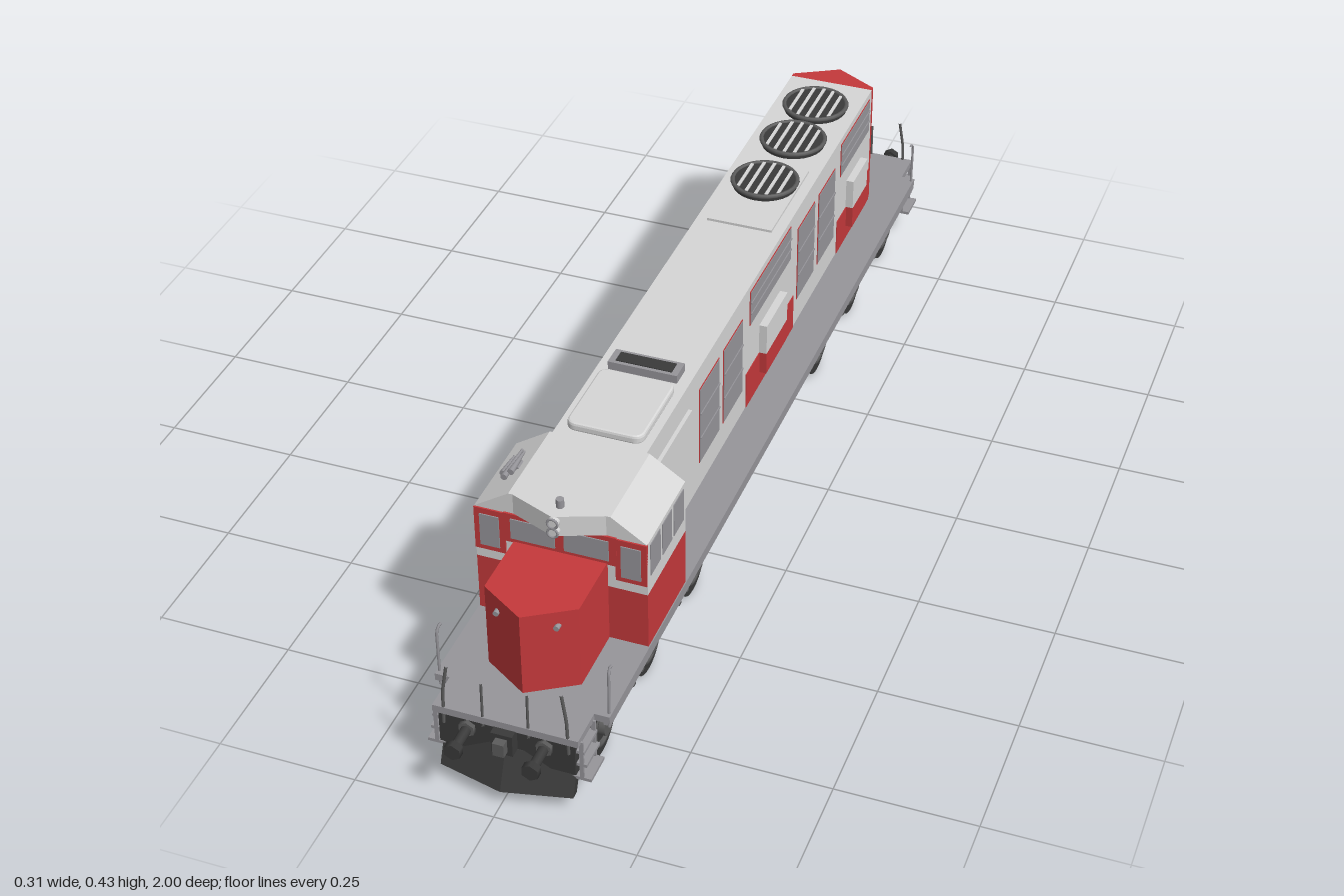
import * as THREE from 'three';

const mat = (name, color) => Object.assign(new THREE.MeshStandardMaterial({ color }), { name });

export function createModel() {
  const red = mat('red paint', 0xc4393b);
  const light = mat('light grey paint', 0xd6d6d6);
  const grey = mat('mid grey', 0x96959a);
  const dark = mat('dark metal', 0x3a3a3a);
  const steel = mat('worn steel', 0x5c5c5c);
  const root = new THREE.Group();
  root.name = 'locomotive';

  // ---- helpers ----
  const add = (name, geo, m, x = 0, y = 0, z = 0, parent = root) => {
    const mesh = new THREE.Mesh(geo, m);
    mesh.name = name;
    mesh.position.set(x, y, z);
    parent.add(mesh);
    return mesh;
  };
  // box given by its limits on each axis
  const box = (name, m, [x0, x1], [y0, y1], [z0, z1], parent = root) =>
    add(name, new THREE.BoxGeometry(x1 - x0, y1 - y0, z1 - z0), m,
      (x0 + x1) / 2, (y0 + y1) / 2, (z0 + z1) / 2, parent);
  // box on the side s, with limits measured outward
  const sideBox = (name, m, s, [a, b], y, z, parent) =>
    box(name, m, s > 0 ? [a, b] : [-b, -a], y, z, parent);
  const shape = pts => new THREE.Shape(pts.map(p => new THREE.Vector2(...p)));
  // plan outline of (x, z) points raised from y0 to y1
  const planGeo = (pts, y0, y1) =>
    new THREE.ExtrudeGeometry(shape(pts.map(([x, z]) => [x, -z])), { depth: y1 - y0, bevelEnabled: false })
      .rotateX(-Math.PI / 2).translate(0, y0, 0);
  // cross-section of (x, y) points swept from z0 to z1
  const sectionGeo = (pts, z0, z1) =>
    new THREE.ExtrudeGeometry(shape(pts), { depth: z1 - z0, bevelEnabled: false }).translate(0, 0, z0);
  const cyl = (name, m, r, len, axis, x, y, z, parent, seg = 24) => {
    const g = new THREE.CylinderGeometry(r, r, len, seg);
    if (axis === 'x') g.rotateZ(Math.PI / 2);
    if (axis === 'z') g.rotateX(Math.PI / 2);
    return add(name, g, m, x, y, z, parent);
  };
  const tube = (name, m, pts, r, parent) => add(name, new THREE.TubeGeometry(
    new THREE.CatmullRomCurve3(pts.map(p => new THREE.Vector3(...p)), false, 'catmullrom', 0.1), 16, r, 6),
    m, 0, 0, 0, parent);

  // ---- deck and frame ----
  add('deck', planGeo([[-0.155, -0.87], [-0.128, -0.87], [-0.128, -0.94], [0.128, -0.94], [0.128, -0.87],
    [0.155, -0.87], [0.155, 0.87], [0.128, 0.87], [0.128, 0.94], [-0.128, 0.94], [-0.128, 0.87], [-0.155, 0.87]],
    0.141, 0.155), grey);
  box('centre sill', dark, [-0.07, 0.07], [0.1, 0.141], [-0.9, 0.9]);
  for (const s of [1, -1]) sideBox('side sill', grey, s, [0.14, 0.152], [0.126, 0.141], [-0.86, 0.86]);

  // ---- fuel tank ----
  add('fuelTank', sectionGeo([[-0.085, 0.048], [0.085, 0.048], [0.125, 0.075], [0.13, 0.125], [-0.13, 0.125],
    [-0.125, 0.075]], -0.245, 0.22), dark);
  box('tank mount', dark, [-0.11, 0.11], [0.115, 0.141], [-0.3, 0.3]);

  // ---- long hood ----
  box('hood', light, [-0.085, 0.085], [0.155, 0.415], [-0.762, 0.52]);
  add('hoodEnd', planGeo([[-0.085, -0.762], [-0.085, -0.772], [0, -0.82], [0.085, -0.772], [0.085, -0.762]],
    0.155, 0.415), red);
  for (const s of [1, -1]) {
    // louvred panels with a red rim
    const louvre = (y0, y1, z0, z1, rows) => {
      const g = new THREE.Group();
      g.name = 'louvre';
      root.add(g);
      sideBox('louvre rim', red, s, [0.082, 0.0862], [y0 - 0.002, y1 + 0.002], [z0 - 0.002, z1 + 0.002], g);
      sideBox('louvre panel', grey, s, [0.082, 0.0872], [y0, y1], [z0, z1], g);
      for (let i = 1; i < rows; i++) {
        const y = y0 + (y1 - y0) * i / rows;
        sideBox('louvre slat', grey, s, [0.087, 0.0892], [y - 0.0015, y + 0.0015], [z0, z1], g);
      }
    };
    for (const z of [0.155, 0.03, -0.392, -0.52]) louvre(0.21, 0.368, z, z + 0.1, 3);
    louvre(0.33, 0.4, -0.245, -0.015, 3);
    louvre(0.33, 0.4, -0.745, -0.56, 3);
    if (s > 0) sideBox('equipment door', light, s, [0.082, 0.092], [0.2, 0.365], [0.31, 0.49]);
    else louvre(0.2, 0.368, 0.3, 0.49, 4);
    // red lower panels with boxes standing out of them
    for (const [z0, z1, b0, b1] of [[-0.27, 0.005, -0.19, -0.07], [-0.762, -0.545, -0.7, -0.605]]) {
      sideBox('lower red panel', red, s, [0.082, 0.0865], [0.155, 0.23], [z0, z1]);
      sideBox('side locker', light, s, [0.084, 0.1], [0.23, 0.292], [b0, b1]);
      sideBox('side locker base', red, s, [0.084, 0.1], [0.185, 0.23], [b0, b1]);
    }
  }
  // rear grab rungs and lamps
  for (let i = 0; i < 6; i++) {
    const rung = box('grab rung', grey, [-0.022, 0.022], [-0.002, 0.002], [-0.004, 0.004]);
    rung.position.set(0.058, 0.19 + i * 0.037, -0.791);
    rung.rotation.y = -0.514;
  }
  for (const y of [0.318, 0.34]) cyl('rear headlight', grey, 0.009, 0.02, 'z', 0, y, -0.818);
  for (const x of [-0.053, 0.053]) cyl('rear marker', grey, 0.005, 0.014, 'z', x, 0.32, -0.79);

  // ---- roof equipment ----
  box('fan base', light, [-0.064, 0.064], [0.41, 0.42], [-0.42, -0.195]);
  for (const [z, y] of [[-0.655, 0.415], [-0.515, 0.415], [-0.345, 0.42]]) {
    const fan = new THREE.Group();
    fan.name = 'roofFan';
    fan.position.set(0, y, z);
    root.add(fan);
    cyl('fan drum', dark, 0.062, 0.012, 'y', 0, 0.005, 0, fan, 28);
    add('fan rim', new THREE.TorusGeometry(0.062, 0.0045, 6, 28).rotateX(Math.PI / 2), steel, 0, 0.01, 0, fan);
    for (let i = -2; i <= 2; i++) {
      const x = i * 0.02, h = Math.sqrt(0.058 ** 2 - x * x);
      box('fan bar', light, [x - 0.003, x + 0.003], [0.01, 0.0135], [-h, h], fan);
    }
  }
  const pad = new THREE.Shape();
  pad.moveTo(-0.05, 0.33).lineTo(0.05, 0.33).quadraticCurveTo(0.066, 0.33, 0.066, 0.346)
    .lineTo(0.066, 0.474).quadraticCurveTo(0.066, 0.49, 0.05, 0.49).lineTo(-0.05, 0.49)
    .quadraticCurveTo(-0.066, 0.49, -0.066, 0.474).lineTo(-0.066, 0.346).quadraticCurveTo(-0.066, 0.33, -0.05, 0.33);
  add('roof blister', new THREE.ExtrudeGeometry(pad, { depth: 0.008, bevelSize: 0.004, bevelThickness: 0.005, bevelSegments: 2 })
    .rotateX(Math.PI / 2).translate(0, 0.425, 0).rotateY(Math.PI).scale(1, 1, 1).rotateY(Math.PI), light);
  box('exhaust stack', grey, [-0.064, 0.064], [0.41, 0.431], [0.27, 0.31]);
  box('exhaust slot', dark, [-0.052, 0.052], [0.429, 0.4325], [0.277, 0.303]);

  // ---- cab ----
  box('cab lower body', red, [-0.153, 0.153], [0.155, 0.267], [0.51, 0.688]);
  add('cab upper body', sectionGeo([[-0.153, 0.267], [0.153, 0.267], [0.153, 0.373], [0.09, 0.415], [-0.09, 0.415],
    [-0.153, 0.373]], 0.51, 0.688), light);
  add('cab roof visor', planGeo([[-0.09, 0.68], [-0.09, 0.685], [0, 0.72], [0.09, 0.685], [0.09, 0.68]],
    0.375, 0.415), light);
  box('windscreen surround', red, [-0.1, 0.1], [0.316, 0.375], [0.685, 0.6915]);
  for (const s of [1, -1]) {
    sideBox('front window surround', red, s, [0.098, 0.153], [0.287, 0.373], [0.685, 0.691]);
    sideBox('front side window', grey, s, [0.108, 0.143], [0.297, 0.362], [0.687, 0.693]);
    sideBox('windscreen', grey, s, [0.008, 0.087], [0.325, 0.366], [0.687, 0.6935]);
    for (const [z0, z1] of [[0.63, 0.675], [0.577, 0.62], [0.52, 0.567]])
      sideBox('cab side window', grey, s, [0.15, 0.1545], [0.3, 0.365], [z0, z1]);
  }

  // ---- nose ----
  add('nose', planGeo([[-0.083, 0.68], [-0.083, 0.812], [0, 0.864], [0.083, 0.812], [0.083, 0.68]], 0.155, 0.318), red);
  for (const x of [-0.053, 0.053]) cyl('nose lamp', grey, 0.005, 0.014, 'z', x, 0.289, 0.832);

  // ---- headlight, beacon, horn ----
  for (const y of [0.386, 0.405]) {
    cyl('headlight', light, 0.01, 0.02, 'z', 0.003, y, 0.715);
    add('headlight rim', new THREE.TorusGeometry(0.009, 0.0022, 6, 16), grey, 0.003, y, 0.725);
  }
  cyl('beacon', grey, 0.007, 0.018, 'y', 0.003, 0.422, 0.69, root, 12);
  const horn = new THREE.Group();
  horn.name = 'horn';
  horn.position.set(-0.117, 0.402, 0.6);
  horn.rotation.z = 0.58;
  root.add(horn);
  box('horn bracket', grey, [-0.012, 0.012], [-0.012, 0], [-0.01, 0.01], horn);
  for (const [x, l] of [[-0.01, 0.05], [0, 0.08], [0.01, 0.06]])
    add('horn trumpet', new THREE.CylinderGeometry(0.006, 0.002, l, 10).rotateX(Math.PI / 2), grey, x, 0.004, 0, horn);

  // ---- bogies ----
  for (const e of [1, -1]) {
    const bogie = new THREE.Group();
    bogie.name = 'bogie';
    root.add(bogie);
    const axles = [0.358, 0.58, 0.797].map(z => z * e);
    for (const z of axles) {
      cyl('axle', dark, 0.014, 0.2, 'x', 0, 0.065, z, bogie, 12);
      for (const s of [1, -1]) {
        cyl('wheel', dark, 0.063, 0.03, 'x', s * 0.096, 0.065, z, bogie, 28);
        cyl('wheel flange', dark, 0.065, 0.006, 'x', s * 0.081, 0.065, z, bogie, 28);
        add('wheel ring', new THREE.TorusGeometry(0.038, 0.006, 6, 24).rotateY(Math.PI / 2), steel, s * 0.111, 0.065, z, bogie);
        cyl('axle box', steel, 0.02, 0.014, 'x', s * 0.116, 0.065, z, bogie, 14);
      }
    }
    const [z0, z1] = e > 0 ? [0.29, 0.87] : [-0.87, -0.29];
    for (const s of [1, -1]) {
      sideBox('bogie side frame', dark, s, [0.1, 0.12], [0.108, 0.136], [z0, z1], bogie);
      for (const i of [0, 1]) {
        const c = (axles[i] + axles[i + 1]) / 2;
        sideBox('bogie frame drop', dark, s, [0.095, 0.124], [0.075, 0.136], [c - 0.04, c + 0.04], bogie);
        for (const d of [-0.02, 0.02]) cyl('spring', steel, 0.012, 0.05, 'y', s * 0.124, 0.105, c + d, bogie, 10);
      }
    }
    for (const i of [0, 1]) {
      const c = (axles[i] + axles[i + 1]) / 2;
      box('bogie cross beam', dark, [-0.1, 0.1], [0.08, 0.12], [c - 0.03, c + 0.03], bogie);
    }
  }

  // ---- ends: plough, coupler, buffers, steps and rails ----
  for (const e of [0, 1]) {
    const end = new THREE.Group();
    end.name = e ? 'rearEnd' : 'frontEnd';
    end.rotation.y = e * Math.PI;
    root.add(end);
    box('end plate', dark, [-0.12, 0.12], [0.075, 0.142], [0.9, 0.935], end);
    const plough = planGeo([[-0.118, 0.9], [-0.118, 0.915], [0, 0.942], [0.118, 0.915], [0.118, 0.9]], 0.03, 0.1);
    const p = plough.attributes.position;
    for (let i = 0; i < p.count; i++) p.setZ(i, p.getZ(i) + (0.1 - p.getY(i)) * 0.42);
    plough.computeVertexNormals();
    add('plough', plough, dark, 0, 0, 0, end);
    box('coupler', dark, [-0.019, 0.019], [0.1, 0.142], [0.92, 0.955], end);
    box('coupler knuckle', steel, [-0.01, 0.01], [0.108, 0.134], [0.95, 0.97], end);
    for (const s of [1, -1]) {
      cyl('buffer rod', dark, 0.009, 0.07, 'z', s * 0.068, 0.121, 0.96, end, 12);
      cyl('buffer head', dark, 0.016, 0.014, 'z', s * 0.068, 0.121, 0.993, end, 6);
      cyl('buffer base', steel, 0.015, 0.01, 'z', s * 0.068, 0.121, 0.938, end, 6);
      for (const [y, x] of [[0.065, 0.145], [0.095, 0.138], [0.122, 0.134]])
        sideBox('step', grey, s, [0.112, x], [y - 0.003, y + 0.003], [0.873, 0.93], end);
      for (const z of [0.873, 0.926])
        sideBox('step hanger', grey, s, [0.125, 0.132], [0.062, 0.145], [z, z + 0.004], end);
      // handrails
      tube('corner handrail', grey, [[s * 0.15, 0.125, 0.86], [s * 0.151, 0.235, 0.86], [s * 0.15, 0.247, 0.855],
        [s * 0.15, 0.245, 0.845]], 0.0025, end);
      tube('end handrail', steel, [[s * 0.11, 0.12, 0.937], [s * 0.108, 0.19, 0.937], [s * 0.1, 0.243, 0.935]], 0.0028, end);
      tube('inner handrail', steel, [[s * 0.04, 0.13, 0.937], [s * 0.04, 0.225, 0.935]], 0.0025, end);
    }
  }
  return root;
}
